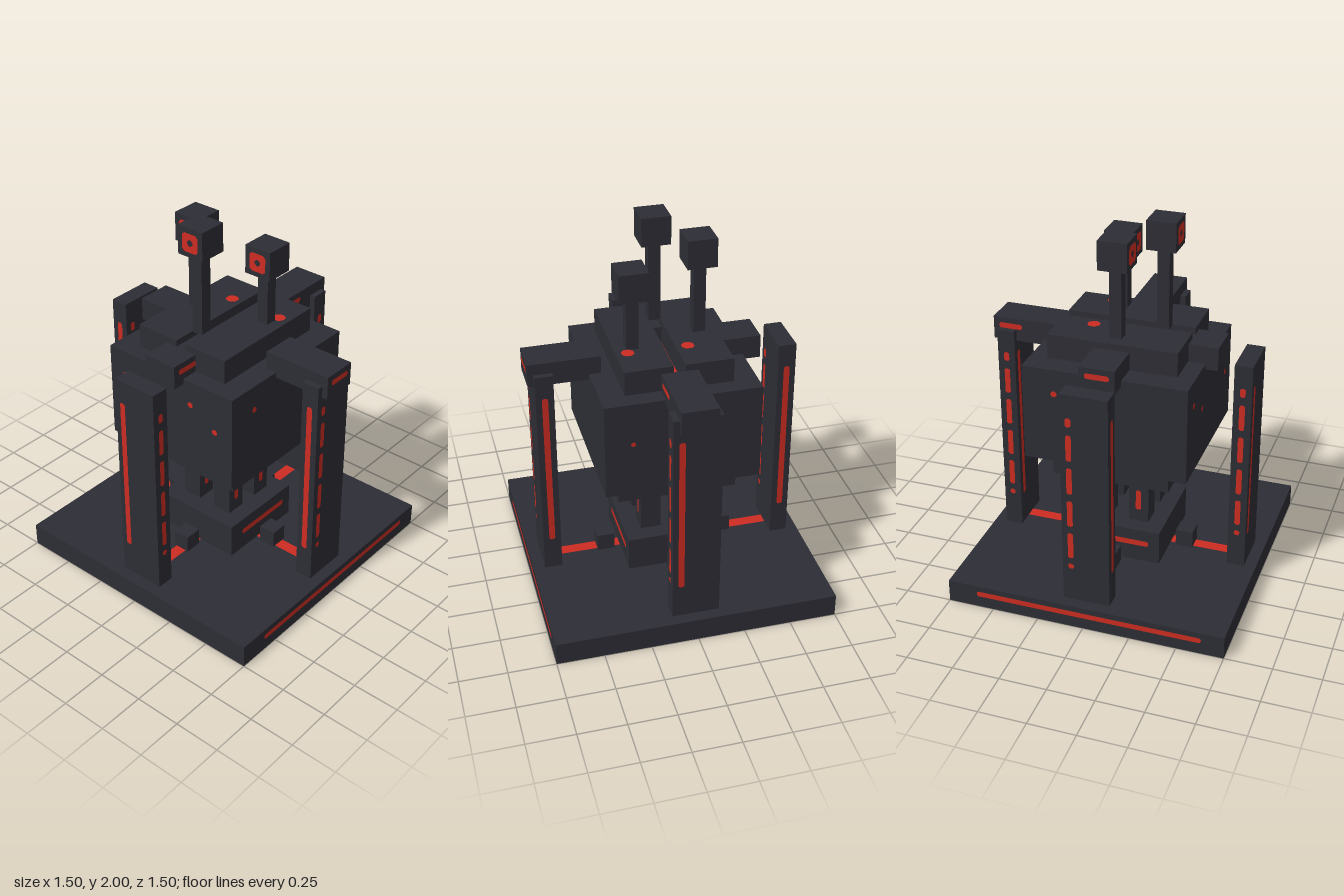
import * as THREE from 'three';

const dark = new THREE.MeshStandardMaterial({ color: 0x2d2d35 });
dark.name = 'darkMetal';
const red = new THREE.MeshStandardMaterial({ color: 0xcd2c22 });
red.name = 'glowRed';

// Turns that bring a panel drawn facing +z onto each side of a box
const TURN = { front: 0, right: Math.PI / 2, back: Math.PI, left: -Math.PI / 2 };

// Rectangle outline with clipped corners
function clipped(w, h, c) {
  const x = w / 2, y = h / 2;
  return [[-x + c, -y], [x - c, -y], [x, -y + c], [x, y - c], [x - c, y], [-x + c, y], [-x, y - c], [-x, -y + c]]
    .map(([a, b]) => new THREE.Vector2(a, b));
}

// Box given by its min and max corners
function addBox(parent, name, x0, x1, y0, y1, z0, z1) {
  const size = [x1 - x0, y1 - y0, z1 - z0];
  const part = new THREE.Group();
  part.name = name;
  part.position.set((x0 + x1) / 2, (y0 + y1) / 2, (z0 + z1) / 2);
  part.userData.size = size;
  const mesh = new THREE.Mesh(new THREE.BoxGeometry(...size), dark);
  mesh.name = name + 'Block';
  part.add(mesh);
  parent.add(part);
  return part;
}

// Flat red light on one face; u, v are measured from the face centre as seen from outside
function addLight(part, face, u, v, w, h, clip = 0.008, hole = 0) {
  const [sx, sy, sz] = part.userData.size;
  const shape = new THREE.Shape(clipped(w, h, clip));
  if (hole) shape.holes.push(new THREE.Path(clipped(hole, hole, hole * 0.35)));
  const light = new THREE.Mesh(new THREE.ShapeGeometry(shape), red);
  light.name = 'light';
  const depth = face === 'top' ? sy : face === 'front' || face === 'back' ? sz : sx;
  light.position.set(u, v, depth / 2 + 0.002);
  const pivot = new THREE.Group();
  pivot.name = face + 'Light';
  if (face === 'top') pivot.rotation.x = -Math.PI / 2;
  else pivot.rotation.y = TURN[face];
  pivot.add(light);
  part.add(pivot);
}

export function createModel() {
  const model = new THREE.Group();
  model.name = 'sentryMachine';

  // Base slab with side light bars and floor strips
  const base = addBox(model, 'base', -0.75, 0.75, 0, 0.125, -0.75, 0.75);
  for (const side of ['right', 'left']) addLight(base, side, 0.02, 0.017, 1.22, 0.03);
  for (const s of [-1, 1]) {
    addLight(base, 'top', s * 0.42, 0, 0.35, 0.064, 0);
    addLight(base, 'top', 0, s * 0.42, 0.064, 0.35, 0);
  }

  // Pedestal and the small blocks around it
  const pedestal = addBox(model, 'pedestal', -0.25, 0.25, 0.125, 0.315, -0.25, 0.25);
  for (const side of ['right', 'left']) addLight(pedestal, side, 0.015, 0.015, 0.35, 0.032);
  for (const [x, z] of [[0.33, 0], [-0.33, 0], [0, 0.33], [0, -0.33]]) {
    addBox(model, 'floorBlock', x - 0.047, x + 0.047, 0.125, 0.22, z - 0.047, z + 0.047);
  }

  // Four legs
  for (const x of [-0.105, 0.105]) {
    for (const z of [-0.105, 0.105]) {
      const leg = addBox(model, 'leg', x - 0.055, x + 0.055, 0.315, 0.625, z - 0.055, z + 0.055);
      for (const side of ['right', 'left']) addLight(leg, side, 0, -0.025, 0.03, 0.12);
    }
  }

  // Collar and main body with indicator dots
  addBox(model, 'collar', -0.315, 0.315, 0.625, 0.755, -0.315, 0.315);
  const body = addBox(model, 'body', -0.405, 0.405, 0.755, 1.28, -0.435, 0.435);
  for (const [u, y] of [[-0.3, 1.145], [-0.143, 1.05], [0.138, 1.145], [0.295, 1.05]]) {
    addLight(body, 'front', u, y - 1.0175, 0.032, 0.032, 0.01);
  }
  for (const side of ['right', 'left']) addLight(body, side, -0.265, 0.128, 0.032, 0.032, 0.01);
  for (const [u, y] of [[-0.26, 1.05], [0.17, 1.08]]) {
    addLight(body, 'back', u, y - 1.0175, 0.025, 0.025, 0.008);
  }
  addLight(body, 'top', 0, 0, 0.06, 0.69, 0);

  // Split top plate
  for (const x of [-0.28, 0.03]) {
    const plate = addBox(model, 'topPlate', x, x + 0.25, 1.28, 1.41, -0.344, 0.344);
    addLight(plate, 'top', 0.064, 0.16, 0.064, 0.064, 0.018);
  }

  // Arms at the four sides
  const arms = [
    ['rightArm', -0.5, -0.125, -0.094, 0.094], ['leftArm', 0.342, 0.718, -0.094, 0.094],
    ['frontArm', -0.094, 0.094, 0.125, 0.5], ['backArm', -0.094, 0.094, -0.718, -0.342],
  ];
  for (const [name, x0, x1, z0, z1] of arms) {
    const arm = addBox(model, name, x0, x1, 1.25, 1.375, z0, z1);
    const u = -(z1 - z0) / 2 + 0.095;
    for (const side of ['right', 'left']) addLight(arm, side, u, 0.018, 0.128, 0.03);
  }

  // Pylons: solid light on front and back, dashed on the sides
  const dashes = [[0.315, 0.345], [0.38, 0.53], [0.57, 0.72], [0.76, 0.91], [0.95, 1.095], [1.14, 1.19]];
  const pylons = [
    ['rightPylon', -0.64, 0, 0.0475, 0.125], ['leftPylon', 0.64, 0, 0.0475, 0.125],
    ['frontPylon', 0, 0.64, 0.125, 0.0475], ['backPylon', 0, -0.64, 0.125, 0.0475],
  ];
  for (const [name, x, z, hx, hz] of pylons) {
    const pylon = addBox(model, name, x - hx, x + hx, 0.125, 1.315, z - hz, z + hz);
    const offset = (half) => (half > 0.1 ? -0.08 : 0);
    for (const side of ['front', 'back']) addLight(pylon, side, offset(hx), 0.03, 0.032, 0.88);
    for (const side of ['right', 'left']) {
      for (const [a, b] of dashes) addLight(pylon, side, offset(hz), (a + b) / 2 - 0.72, 0.03, b - a);
    }
  }

  // Three eye stalks
  for (const [x, top, z] of [[-0.188, 1.94, 0], [0, 2, 0.188], [0.186, 1.845, -0.096]]) {
    const r = 0.077;
    addBox(model, 'stalk', x - 0.032, x + 0.032, 1.405, top - 2 * r, z - 0.032, z + 0.032);
    const head = addBox(model, 'eyeHead', x - r, x + r, top - 2 * r, top, z - r, z + r);
    addLight(head, 'front', 0, 0, 0.1, 0.1, 0.015, 0.034);
  }
  return model;
}
